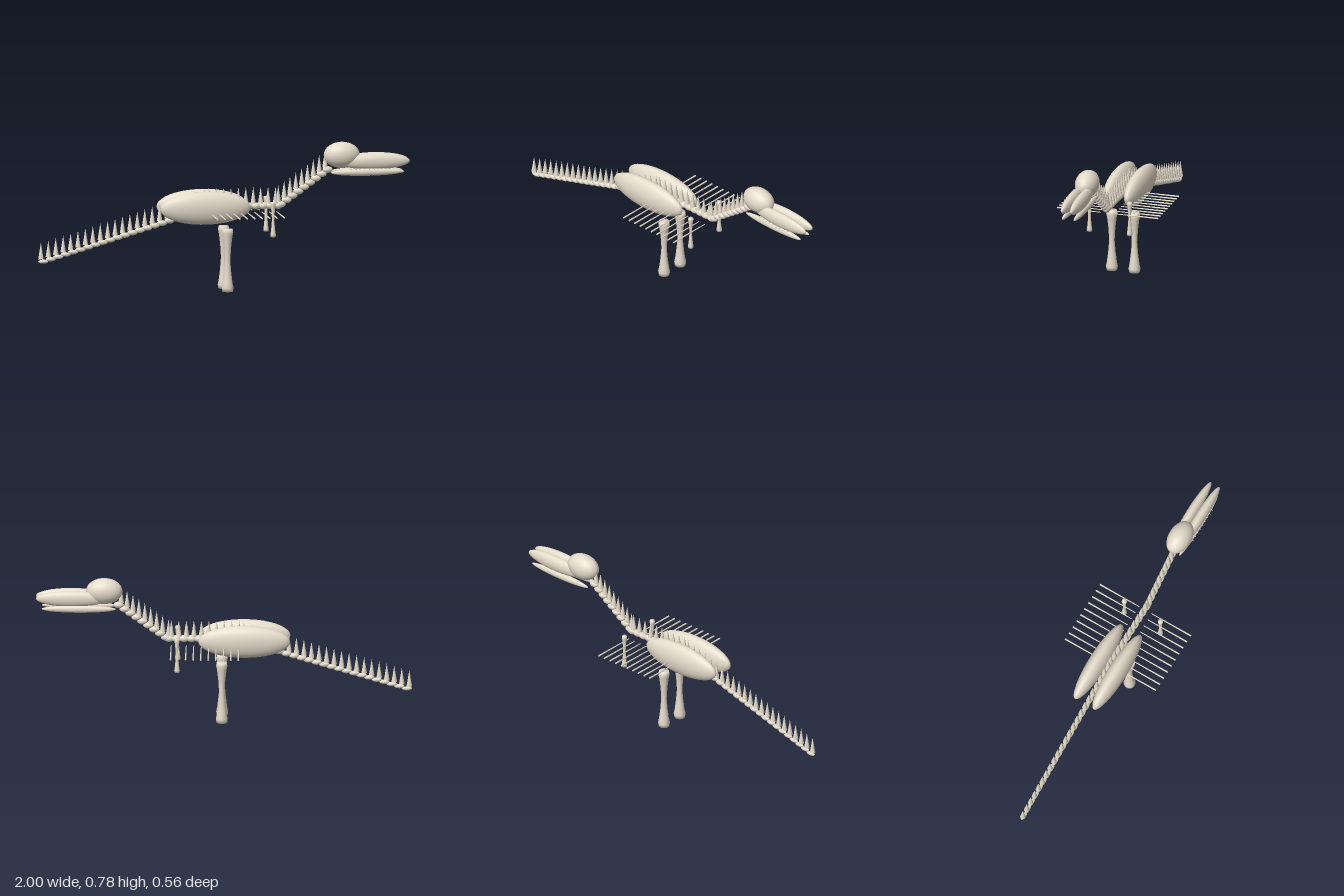
import * as THREE from 'three';

export function createModel() {
  const model = new THREE.Group();
  model.name = 'skeleton';
  const bone = new THREE.MeshStandardMaterial({ color: 0xe3dac9 });
  bone.name = 'bone';

  function add(parent, name, geometry, x, y, z) {
    const mesh = new THREE.Mesh(geometry, bone);
    mesh.name = name;
    mesh.position.set(x, y, z);
    parent.add(mesh);
    return mesh;
  }
  const ellipsoid = (rx, ry, rz, w = 32, h = 20) =>
    new THREE.SphereGeometry(1, w, h).scale(rx, ry, rz);
  const group = (name) => {
    const g = new THREE.Group();
    g.name = name;
    model.add(g);
    return g;
  };

  // Limb bone: a waisted shaft with flared, capped ends
  function limb(r, h) {
    const profile = [[0, 0], [0.93, 0], [1.03, 0.06], [0.85, 0.14], [0.62, 0.32], [0.47, 0.5],
      [0.6, 0.7], [0.83, 0.88], [0.98, 0.94], [0.87, 1], [0, 1]];
    return new THREE.LatheGeometry(profile.map(([a, b]) => new THREE.Vector2(a * r, b * h)), 20);
  }

  // Backbone: tail, trunk and neck vertebrae, each with an upright spine
  const spineCone = new THREE.ConeGeometry(0.015, 0.09, 12);
  function vertebra(parent, x, y, r) {
    add(parent, 'vertebraBody', ellipsoid(0.028, r, r, 14, 10), x + 0.013, y, 0);
    add(parent, 'vertebraSpine', spineCone, x, y + 0.058, 0);
  }
  const tail = group('tail');
  for (let i = 0; i < 23; i++) {
    vertebra(tail, -0.985 + i * 0.04, 0.175 + i * 0.012, 0.011 + i * 0.0003);
  }
  const trunk = group('trunk');
  for (let i = 0; i < 10; i++) vertebra(trunk, -0.08 + i * 0.04, 0.447, 0.019);
  const neck = group('neck');
  for (let i = 0; i < 9; i++) vertebra(neck, 0.295 + i * 0.0315, 0.453 + i * 0.0225, 0.018);

  // Paired parts
  const ribs = group('ribs');
  const limbs = group('limbs');
  const hips = group('hips');
  const skull = group('skull');
  for (const s of [1, -1]) {
    for (let i = 0; i < 10; i++) {
      const rib = add(ribs, 'rib', new THREE.CylinderGeometry(0.0045, 0.0025, 0.245, 8),
        -0.08 + i * 0.04, 0.419, s * 0.16);
      rib.rotation.x = s * Math.PI / 2;
    }
    add(hips, 'hipBone', ellipsoid(0.244, 0.088, 0.049), -0.108, 0.449, s * 0.058);
    add(limbs, 'hindLeg', limb(0.031, 0.336), 0.011, 0, s * 0.063);
    add(limbs, 'foreLeg', limb(0.0145, 0.187), 0.248, 0.294, s * 0.112);
    add(skull, 'upperJaw', ellipsoid(0.19, 0.043, 0.027), 0.81, 0.674, s * 0.026);
    add(skull, 'lowerJaw', ellipsoid(0.198, 0.02, 0.017), 0.772, 0.619, s * 0.033);
  }
  add(skull, 'cranium', ellipsoid(0.097, 0.07, 0.062), 0.637, 0.71, 0);

  // Row of small teeth along one side of the jaw
  for (let i = 0; i < 9; i++) {
    const tooth = add(skull, 'tooth', new THREE.ConeGeometry(0.006, 0.036, 8),
      0.68 + i * 0.025, 0.637, 0.044);
    tooth.rotation.x = Math.PI / 2;
  }
  return model;
}
